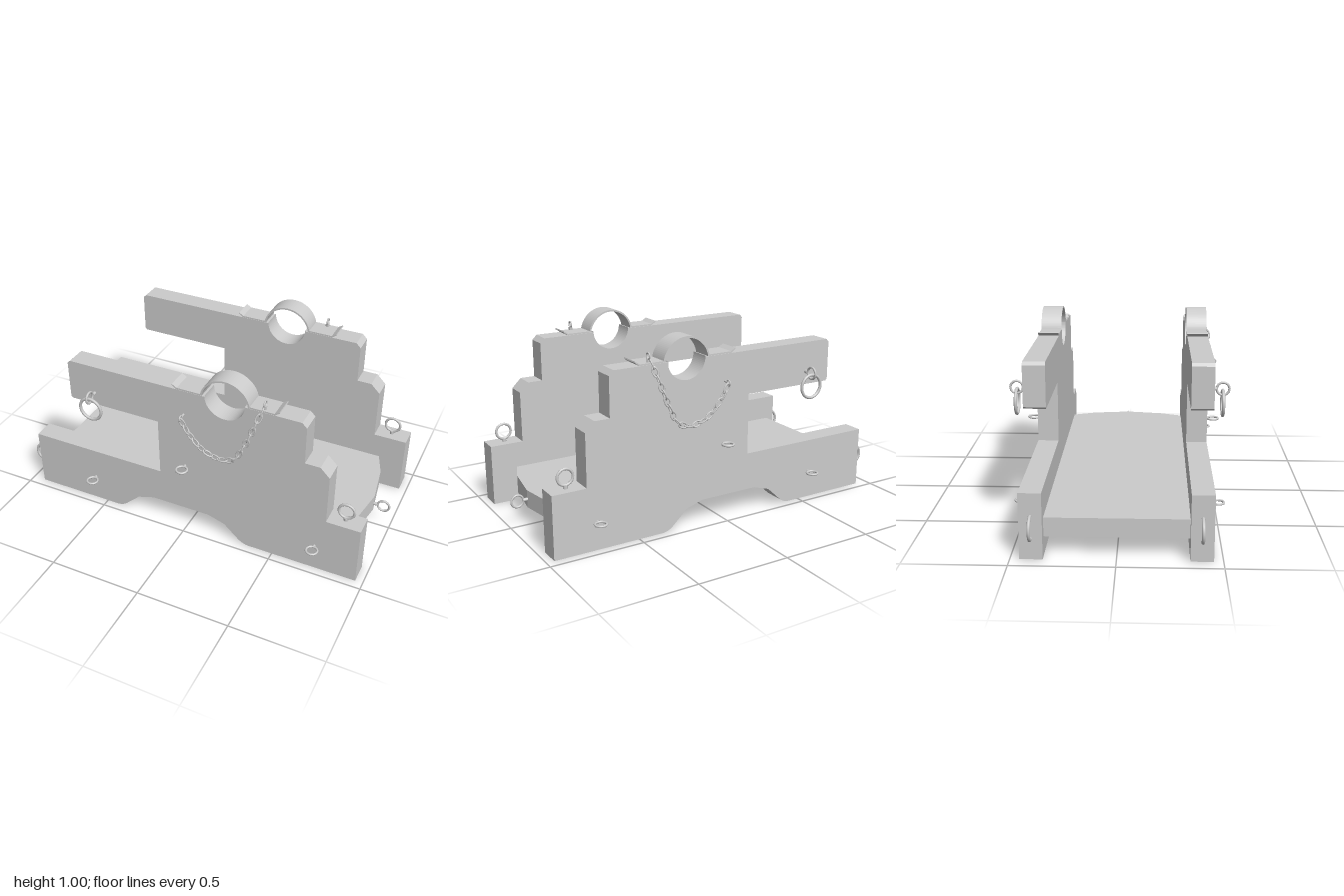
import * as THREE from 'three';

const mat = new THREE.MeshStandardMaterial({ color: 0xcccccc, side: THREE.DoubleSide });
const CHEEK_Z = 0.4, CHEEK_W = 0.11, FACE_Z = 0.455;

function add(parent, name, geometry) {
  const mesh = new THREE.Mesh(geometry, mat);
  mesh.name = name;
  parent.add(mesh);
  return mesh;
}

// Upright board cut to an outline in x and y, centred on depth z
function board(parent, name, shape, z) {
  const g = new THREE.ExtrudeGeometry(shape, { depth: CHEEK_W, bevelEnabled: false, curveSegments: 20 });
  g.translate(0, 0, z - CHEEK_W / 2);
  return add(parent, name, g);
}

const outline = (pts) => new THREE.Shape(pts.map(([x, y]) => new THREE.Vector2(x, y)));

// Ring lying in the 'xy', 'xz' or 'yz' plane; r is the centreline radius
function ring(parent, name, plane, r, tube, x, y, z) {
  const m = add(parent, name, new THREE.TorusGeometry(r, tube, 8, 28));
  if (plane === 'xz') m.rotation.x = Math.PI / 2;
  if (plane === 'yz') m.rotation.y = Math.PI / 2;
  m.position.set(x, y, z);
  return m;
}

// Round rod between two points
function rod(parent, name, a, b, r) {
  const p = new THREE.Vector3(...a), q = new THREE.Vector3(...b);
  const m = add(parent, name, new THREE.CylinderGeometry(r, r, p.distanceTo(q), 10));
  m.position.copy(p).add(q).multiplyScalar(0.5);
  m.quaternion.setFromUnitVectors(new THREE.Vector3(0, 1, 0), q.sub(p).normalize());
  return m;
}

// Lower cheek with the arched cut-out underneath
function lowerCheek() {
  const s = new THREE.Shape();
  s.moveTo(-0.93, 0);
  s.lineTo(-0.43, 0);
  s.quadraticCurveTo(-0.395, 0.005, -0.37, 0.03);
  s.lineTo(-0.295, 0.1);
  s.lineTo(-0.2, 0.13);
  s.lineTo(0.13, 0.13);
  s.lineTo(0.225, 0.1);
  s.lineTo(0.3, 0.03);
  s.quadraticCurveTo(0.325, 0.005, 0.36, 0);
  s.lineTo(0.96, 0);
  s.lineTo(0.96, 0.33);
  s.lineTo(-0.93, 0.33);
  return s;
}

// Upper cheek with the round trunnion seat
function upperCheek() {
  const s = outline([[-0.66, 0.655], [0.65, 0.655], [0.65, 0.86], [0.625, 0.885], [0.335, 0.885]]);
  s.absarc(0.225, 0.89, 0.108, 0, Math.PI, true);
  s.lineTo(0.117, 0.885);
  s.lineTo(-0.655, 0.885);
  s.lineTo(-0.67, 0.87);
  s.lineTo(-0.67, 0.665);
  return s;
}

// Thin metal band: flat feet with lifted tips and an arch over the seat
function capStrap() {
  const s = new THREE.Shape();
  const cx = 0.225, cy = 0.866, a = 0.21;
  s.moveTo(-0.06, 0.91);
  s.lineTo(-0.035, 0.894);
  s.lineTo(cx - 0.131, 0.894);
  s.absarc(cx, cy, 0.134, Math.PI - a, a, true);
  s.lineTo(0.485, 0.894);
  s.lineTo(0.51, 0.91);
  s.lineTo(0.512, 0.904);
  s.lineTo(0.487, 0.886);
  s.lineTo(cx + 0.122, 0.886);
  s.absarc(cx, cy, 0.125, a - 0.05, Math.PI - a + 0.05, false);
  s.lineTo(cx - 0.122, 0.886);
  s.lineTo(-0.037, 0.886);
  s.lineTo(-0.062, 0.904);
  return s;
}

// Hanging chain of links, each turned a quarter from the last
function chain(parent, side) {
  const pts = [[0, 0.735, 0.49], [0.05, 0.655, 0.488], [0.125, 0.58, 0.485], [0.22, 0.555, 0.485],
    [0.29, 0.58, 0.485], [0.35, 0.69, 0.485], [0.4, 0.82, 0.475], [0.425, 0.905, 0.445]];
  const curve = new THREE.CatmullRomCurve3(pts.map(([x, y, z]) => new THREE.Vector3(x, y, z * side)));
  const group = new THREE.Group();
  group.name = 'keyChain';
  const count = 18;
  for (let i = 0; i < count; i++) {
    const u = (i + 0.5) / count;
    const link = add(group, 'chainLink', new THREE.TorusGeometry(0.014, 0.0038, 6, 16).scale(1.8, 1, 1));
    link.position.copy(curve.getPointAt(u));
    link.quaternion.setFromUnitVectors(new THREE.Vector3(1, 0, 0), curve.getTangentAt(u));
    link.rotateX((i % 2) * Math.PI / 2);
  }
  parent.add(group);
}

function sideAssembly(side) {
  const g = new THREE.Group();
  g.name = side > 0 ? 'frontCheek' : 'backCheek';
  const zc = CHEEK_Z * side, zf = FACE_Z * side;

  board(g, 'lowerCheek', lowerCheek(), zc);
  board(g, 'middleCheek', outline([[-0.15, 0.33], [0.78, 0.33], [0.78, 0.605], [0.73, 0.655], [-0.15, 0.655]]), zc);
  board(g, 'upperCheek', upperCheek(), zc);
  board(g, 'capStrap', capStrap(), zc);

  // Lifting rings on the end and the top of the lower cheek
  ring(g, 'endRing', 'xy', 0.057, 0.008, -0.935, 0.16, zc);
  ring(g, 'topRing', 'xy', 0.041, 0.007, 0.865, 0.387, zc);
  rod(g, 'topRingShank', [0.865, 0.32, zc], [0.865, 0.346, zc], 0.012);

  // Horizontal eyes on the outer face
  for (const [x, y] of [[-0.565, 0.15], [0.73, 0.15], [0, 0.42]]) {
    ring(g, 'sideEye', 'xz', 0.029, 0.006, x, y, 0.494 * side);
    rod(g, 'sideEyeShank', [x, y, zf - 0.01 * side], [x, y, 0.466 * side], 0.008);
  }

  // Eye bolt carrying a loose ring
  ring(g, 'eyeBolt', 'yz', 0.031, 0.006, -0.52, 0.725, 0.505 * side);
  rod(g, 'eyeBoltShank', [-0.52, 0.725, zf - 0.01 * side], [-0.52, 0.725, 0.475 * side], 0.01);
  ring(g, 'looseRing', 'xy', 0.062, 0.008, -0.52, 0.654, 0.505 * side);

  // Chain with its anchor staple and the key it holds
  rod(g, 'chainStaple', [0, 0.745, zf - 0.01 * side], [0, 0.745, 0.48 * side], 0.006);
  ring(g, 'chainStapleEye', 'yz', 0.014, 0.004, 0, 0.742, 0.488 * side);
  rod(g, 'strapKey', [0.43, 0.87, 0.435 * side], [0.43, 0.912, 0.435 * side], 0.008);
  ring(g, 'strapKeyEye', 'yz', 0.015, 0.004, 0.43, 0.925, 0.437 * side);
  chain(g, side);
  return g;
}

export function createModel() {
  const model = new THREE.Group();
  model.name = 'gunCarriageBed';

  // Bed plank with a bowed nose
  const bed = outline([[-0.88, -0.346], [0.82, -0.346], [0.87, -0.215], [0.903, 0],
    [0.87, 0.215], [0.82, 0.346], [-0.88, 0.346]]);
  const bedGeometry = new THREE.ExtrudeGeometry(bed, { depth: 0.095, bevelEnabled: false });
  bedGeometry.rotateX(Math.PI / 2).translate(0, 0.19, 0);
  add(model, 'bed', bedGeometry);

  // Ring on the nose of the bed
  ring(model, 'noseRing', 'xy', 0.032, 0.006, 0.957, 0.14, 0);
  rod(model, 'noseRingShank', [0.89, 0.14, 0], [0.926, 0.14, 0], 0.009);

  for (const side of [1, -1]) model.add(sideAssembly(side));
  return model;
}
